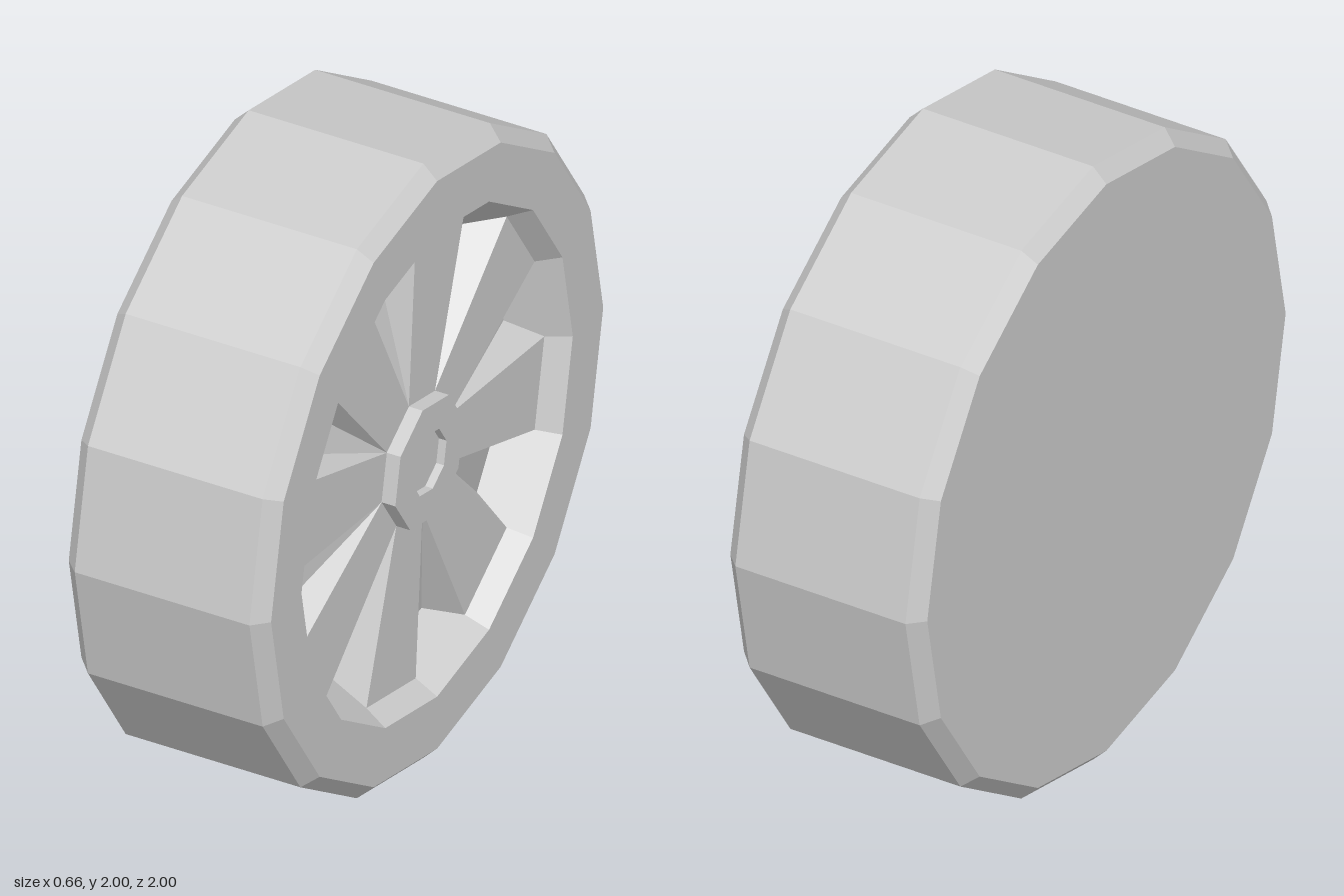
import * as THREE from 'three';

const material = new THREE.MeshStandardMaterial({ color: 0xcccccc, flatShading: true });
const STEP = Math.PI / 8; // one side of the 16-sided wheel
const FACE = 0.26;        // x of the spoke face

// Lathe whose axis runs along +x; points are [radius, x]
function turned(name, points, sides, start = 0) {
  const profile = points.map(([r, x]) => new THREE.Vector2(r, x));
  const geometry = new THREE.LatheGeometry(profile, sides, start).rotateZ(-Math.PI / 2);
  const mesh = new THREE.Mesh(geometry, material);
  mesh.name = name;
  return mesh;
}

// Spoke face with eight wedge-shaped pockets sinking towards the rim
function spokes() {
  const positions = [];
  const at = (r, t, x = FACE) => [x, r * Math.cos(t), r * Math.sin(t)];
  const quad = (a, b, c, d) => positions.push(...a, ...b, ...c, ...a, ...c, ...d);
  const tri = (a, b, c) => positions.push(...a, ...b, ...c);
  for (let k = 0; k < 8; k++) {
    const t = 2 * k * STEP, mid = t + STEP / 2;
    const apex = at(0.2, mid), nextApex = at(0.2, mid + 2 * STEP);
    const rimA = at(0.74, t), rimB = at(0.74, t + STEP), nextRim = at(0.74, t + 2 * STEP);
    const deepA = at(0.675, mid - 0.105, 0.165), deepB = at(0.675, mid + 0.105, 0.165);
    quad(apex, rimB, nextRim, nextApex); // flat spoke
    tri(apex, deepA, deepB);             // sloping pocket floor
    tri(apex, rimA, deepA);              // pocket sides
    tri(apex, deepB, rimB);
    quad(deepA, rimA, rimB, deepB);      // pocket outer wall
  }
  const geometry = new THREE.BufferGeometry();
  geometry.setAttribute('position', new THREE.Float32BufferAttribute(positions, 3));
  geometry.computeVertexNormals();
  const mesh = new THREE.Mesh(geometry, material);
  mesh.name = 'spokes';
  return mesh;
}

export function createModel() {
  const wheel = new THREE.Group();
  wheel.name = 'wheel';
  wheel.add(
    // Closed flat back, bevelled tread and chamfered rim opening
    turned('tyre', [[0, -0.33], [0.955, -0.33], [1, -0.285], [1, 0.285],
      [0.955, 0.33], [0.78, 0.33], [0.74, FACE]], 16),
    spokes(),
    // Octagonal hub with a shallow recess
    turned('hub', [[0.2, FACE], [0.2, 0.305], [0.1, 0.305], [0.1, 0.28], [0, 0.28]], 8, STEP / 2),
  );
  wheel.position.y = 1;
  const model = new THREE.Group();
  model.add(wheel);
  return model;
}
